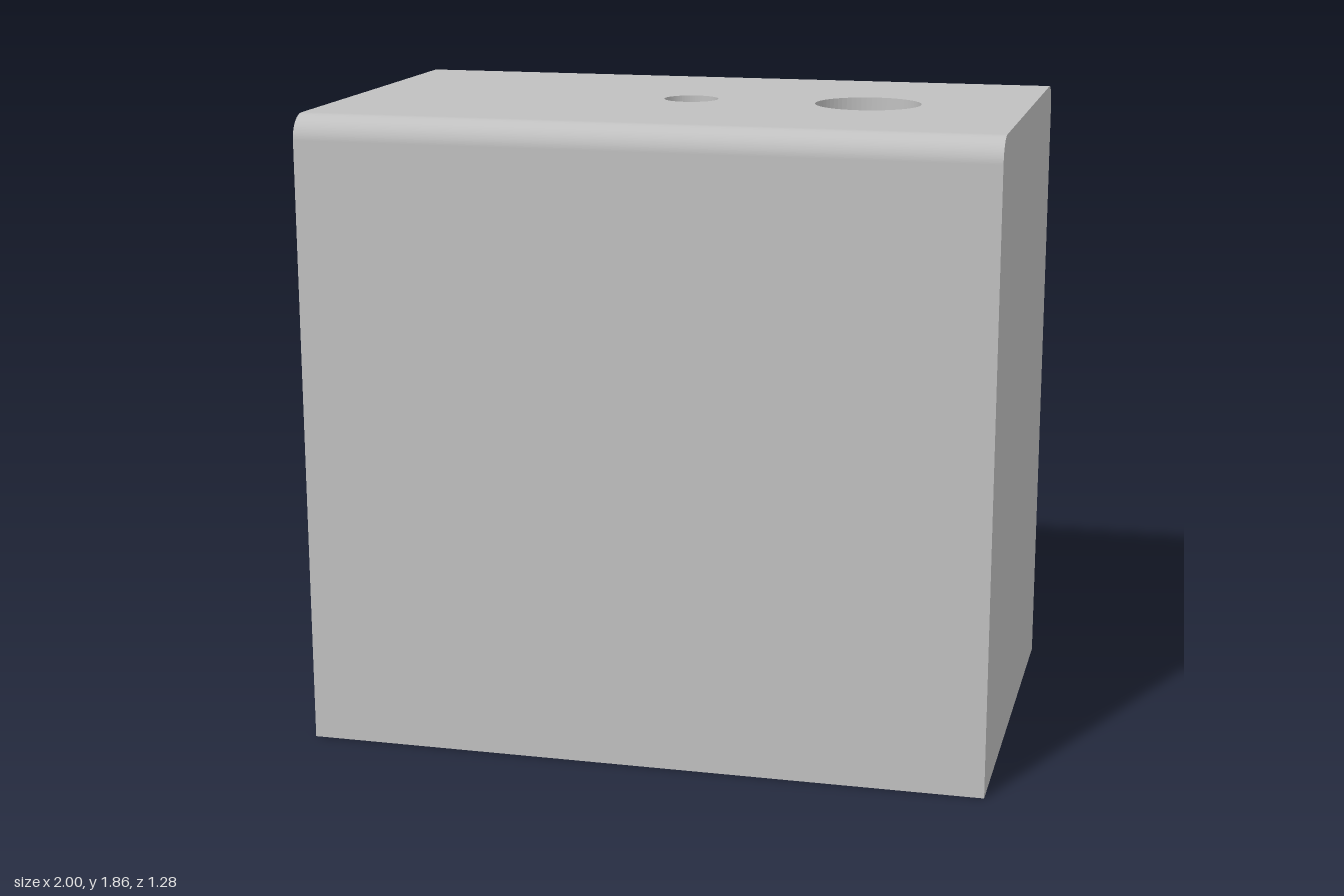
import * as THREE from 'three';

const W = 1, D = 0.64, H = 1.86, R = 0.07, T = 0.045;

export function createModel() {
  const model = new THREE.Group();
  model.name = 'twinDownlight';
  const grey = new THREE.MeshStandardMaterial({ color: 0xc0c0c0, side: THREE.DoubleSide });
  grey.name = 'light grey';

  const add = (parent, name, geo, x = 0, y = 0, z = 0) => {
    const m = new THREE.Mesh(geo, grey);
    m.name = name;
    m.position.set(x, y, z);
    parent.add(m);
    return m;
  };
  const extrude = (shape, depth, curveSegments = 16) =>
    new THREE.ExtrudeGeometry(shape, { depth, bevelEnabled: false, curveSegments });
  // Flat plate in the xz plane, y from 0 up to its thickness
  const plate = (shape, depth) => extrude(shape, depth, 32).rotateX(-Math.PI / 2);
  const rect = (w, d) => new THREE.Shape([
    new THREE.Vector2(-w, -d), new THREE.Vector2(w, -d),
    new THREE.Vector2(w, d), new THREE.Vector2(-w, d)]);
  const circle = (x, y, r) => new THREE.Path().absarc(x, y, r, 0, Math.PI * 2, true);

  // Housing: end walls, long walls with rounded shoulders, pierced top
  const housing = new THREE.Group();
  housing.name = 'housing';
  model.add(housing);

  const end = new THREE.Shape();
  end.moveTo(-D, 0);
  end.lineTo(D, 0);
  end.lineTo(D, H - R);
  end.absarc(D - R, H - R, R, 0, Math.PI / 2, false);
  end.lineTo(-D + R, H);
  end.absarc(-D + R, H - R, R, Math.PI / 2, Math.PI, false);
  end.lineTo(-D, 0);

  const wall = new THREE.Shape();
  wall.moveTo(D - T, 0);
  wall.lineTo(D, 0);
  wall.lineTo(D, H - R);
  wall.absarc(D - R, H - R, R, 0, Math.PI / 2, false);
  wall.lineTo(D - R, H - T);
  wall.absarc(D - R, H - R, R - T, Math.PI / 2, 0, true);
  wall.lineTo(D - T, 0);

  for (const s of [-1, 1]) {
    add(housing, s > 0 ? 'leftEndWall' : 'rightEndWall',
      extrude(end, T).rotateY(Math.PI / 2), s > 0 ? W - T : -W);
    const long = add(housing, s > 0 ? 'backWall' : 'frontWall',
      extrude(wall, 2 * (W - T)).rotateY(Math.PI / 2), s > 0 ? -(W - T) : W - T);
    long.rotation.y = s > 0 ? 0 : Math.PI;
  }
  const top = rect(W - T, D - R);
  top.holes.push(circle(0, 0, 0.08), circle(0.53, 0, 0.155));
  add(housing, 'topPanel', plate(top, T), 0, H - T);

  // Recessed floor and the trim frame hanging from it
  const FX = 0.83, FZ = 0.47, IX = 0.79, IZ = 0.43, Y0 = 0.05, Y1 = 0.08;
  const floor = rect(W - T, D - T);
  floor.holes.push(rect(IX, IZ));
  add(model, 'recessFloor', plate(floor, 0.02), 0, 0.12);
  const frame = rect(FX, FZ);
  frame.holes.push(rect(IX, IZ));
  add(model, 'trimFrame', plate(frame, 0.07), 0, Y0);
  add(model, 'centreRidge', new THREE.BoxGeometry(0.03, 0.01, 2 * IZ), 0, Y1 + 0.005);

  // One side of a reflector, lofted from a rectangle edge to a quarter circle
  const reflectorSide = (hx, hz, r, y0, y1, side) => {
    const n = 14, pos = [], idx = [];
    for (let j = 0; j <= 1; j++) {
      for (let i = 0; i <= n; i++) {
        const t = (i / n) * 2 - 1, a = (t + 2 * side) * Math.PI / 4;
        const c = Math.cos(a), s = Math.sin(a), k = Math.max(Math.abs(c), Math.abs(s));
        if (j) pos.push(c * r, y1, s * r);
        else pos.push(c / k * hx, y0, s / k * hz);
      }
    }
    for (let i = 0; i < n; i++) {
      const b = i + n + 1;
      idx.push(i, i + 1, b, i + 1, b + 1, b);
    }
    const g = new THREE.BufferGeometry();
    g.setAttribute('position', new THREE.Float32BufferAttribute(pos, 3));
    g.setIndex(idx);
    g.computeVertexNormals();
    return g;
  };
  const lathe = (pts) => new THREE.LatheGeometry(pts.map(p => new THREE.Vector2(...p)), 48);

  // Two lamps side by side
  const hx = (IX - 0.015) / 2, cx = 0.015 + hx;
  for (const s of [-1, 1]) {
    const lamp = new THREE.Group();
    lamp.name = s > 0 ? 'leftLamp' : 'rightLamp';
    lamp.position.x = s * cx;
    model.add(lamp);
    for (let i = 0; i < 4; i++) {
      add(lamp, 'reflectorSide', reflectorSide(hx, IZ, 0.18, Y1, 0.28, i));
    }
    const flange = new THREE.Shape().absarc(0, 0, 0.29, 0, Math.PI * 2, false);
    flange.holes.push(circle(0, 0, 0.18));
    add(lamp, 'mountingFlange', plate(flange, 0.02), 0, 0.28);
    add(lamp, 'bezelRing', new THREE.TorusGeometry(0.165, 0.014, 10, 48).rotateX(Math.PI / 2), 0, 0.285);
    add(lamp, 'innerRing', new THREE.TorusGeometry(0.115, 0.01, 10, 48).rotateX(Math.PI / 2), 0, 0.31);
    add(lamp, 'lens', new THREE.CylinderGeometry(0.18, 0.18, 0.01, 48), 0, 0.325);
    // Conical back with a rounded collar and cap
    add(lamp, 'lampBack', lathe([[0.2, 0.3], [0.2, 0.32], [0.1, 0.48]]));
    add(lamp, 'collar', lathe([[0.1, 0.48], [0.1, 0.5], [0.075, 0.5], [0.075, 0.48]]));
    add(lamp, 'cap', new THREE.SphereGeometry(0.075, 24, 8, 0, Math.PI * 2, 0, Math.PI / 2), 0, 0.48);
    for (const k of [-1, 1]) {
      add(lamp, 'fixingPost', new THREE.CylinderGeometry(0.045, 0.045, 0.06, 20), k * 0.245, 0.32);
    }
  }
  return model;
}
